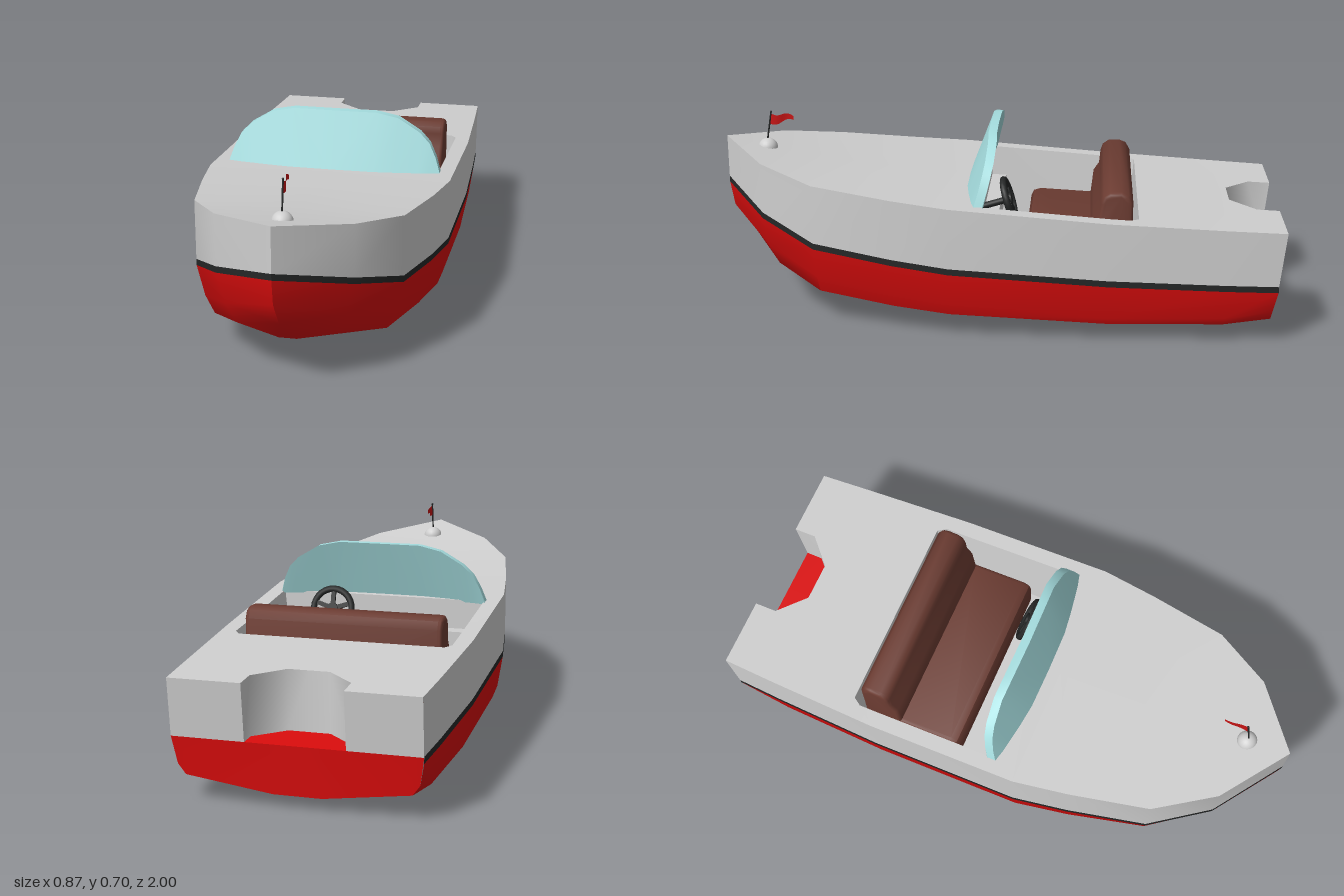
import * as THREE from 'three';
import { toCreasedNormals } from 'three/addons/utils/BufferGeometryUtils.js';

const material = (name, color) => new THREE.MeshStandardMaterial({ name, color });

// Grid surface over rows of [x, y, z] points on the +x half, mirrored to -x.
function skin(rows, crease = 0.7) {
  const pos = [];
  const tri = (...pts) => {
    for (const p of pts) pos.push(...p);
    for (const p of pts.reverse()) pos.push(-p[0], p[1], p[2]);
  };
  for (let i = 0; i < rows.length - 1; i++) {
    for (let j = 0; j < rows[i].length - 1; j++) {
      const a = rows[i][j], b = rows[i][j + 1], c = rows[i + 1][j], d = rows[i + 1][j + 1];
      tri(a, b, c);
      tri(b, d, c);
    }
  }
  const geo = new THREE.BufferGeometry();
  geo.setAttribute('position', new THREE.Float32BufferAttribute(pos, 3));
  return toCreasedNormals(geo, crease);
}

// Hull stations: z, half width, deck y, stripe y, stripe z, then shoulder, chine and keel points
const stations = [
  { z: 1, w: 0, deck: 0.605, stripe: 0.45, sz: 1, low: [[0, 0.34, 0.985], [0, 0.24, 0.91], [0, 0.24, 0.91]] },
  { z: 0.83, w: 0.225, deck: 0.565, stripe: 0.385, sz: 0.83, low: [[0.2, 0.255, 0.82], [0.17, 0.175, 0.79], [0.03, 0.14, 0.8]] },
  { z: 0.63, w: 0.35, deck: 0.527, stripe: 0.317, sz: 0.63, low: [[0.325, 0.185, 0.625], [0.295, 0.12, 0.62], [0.06, 0.07, 0.62]] },
  { z: 0.35, w: 0.405, deck: 0.497, stripe: 0.283, sz: 0.35, low: [[0.385, 0.15, 0.35], [0.36, 0.095, 0.35], [0.075, 0.046, 0.35]] },
  { z: 0.15, w: 0.435, deck: 0.48, stripe: 0.265, sz: 0.15, low: [[0.417, 0.13, 0.15], [0.4, 0.085, 0.15], [0.08, 0.028, 0.15]] },
  { z: -0.4, w: 0.436, deck: 0.44, stripe: 0.235, sz: -0.4, low: [[0.416, 0.09, -0.4], [0.405, 0.065, -0.4], [0.08, 0, -0.4]] },
  { z: -0.8, w: 0.42, deck: 0.419, stripe: 0.222, sz: -0.8, low: [[0.405, 0.095, -0.8], [0.39, 0.068, -0.8], [0.08, 0.012, -0.8]] },
  { z: -1, w: 0.41, deck: 0.41, stripe: 0.218, sz: -0.98, low: [[0.395, 0.12, -0.965], [0.37, 0.085, -0.962], [0.08, 0.045, -0.96]] },
];

// Interpolated station value at z
function at(z, key) {
  const i = Math.min(stations.findIndex((s) => s.z <= z + 1e-6) || 1, stations.length - 1);
  const a = stations[i - 1], b = stations[i];
  return THREE.MathUtils.mapLinear(z, a.z, b.z, a[key], b[key]);
}

export function createModel() {
  const white = material('light grey paint', 0xcfcfcf);
  const red = material('red paint', 0xdc0d0d);
  const black = material('black trim', 0x252727);
  const brown = material('brown upholstery', 0x6c3c32);
  const glass = material('pale blue windscreen', 0xa6dee0);
  glass.side = THREE.DoubleSide;
  const flagRed = material('flag red', 0xc81414);
  flagRed.side = THREE.DoubleSide;

  const boat = new THREE.Group();
  boat.name = 'motorboat';
  const add = (name, geo, mat, parent = boat) => {
    const mesh = new THREE.Mesh(geo, mat);
    mesh.name = name;
    parent.add(mesh);
    return mesh;
  };

  // Hull bands
  const band = 0.022;
  add('topsides', skin(stations.map((s) => [[s.w, s.deck, s.z], [s.w, s.stripe, s.sz]])), white);
  add('waterlineStripe', skin(stations.map((s) => [[s.w, s.stripe, s.sz], [s.w, s.stripe - band, s.sz]])), black);
  add('lowerHull', skin(stations.map((s) => [[s.w, s.stripe - band, s.sz], ...s.low, [0, s.low[2][1], s.low[2][2]]])), red);

  // Deck around the cockpit and the motor notch: z and inner half width
  const front = 0.05, back = -0.5;
  const deckPart = (list) => skin(list.map(([z, x]) => [[x, at(z, 'deck'), z], [at(z, 'w'), at(z, 'deck'), z]]));
  add('foredeck', deckPart([[1, 0], [0.83, 0], [0.63, 0], [0.35, 0], [0.15, 0], [front, 0]]), white);
  add('sideDecks', deckPart([[front, 0.38], [-0.4, 0.38], [-0.47, 0.38], [back, 0.36]]), white);
  add('aftDeck', deckPart([[back, 0], [-0.8, 0], [-0.83, 0], [-0.83, 0.07], [-0.92, 0.165], [-1, 0.165]]), white);

  // Transom and motor notch
  const sill = 0.215;
  add('upperTransom', skin([0.165, 0.41].map((x) => [[x, sill, -0.98], [x, 0.41, -1]])), white);
  add('lowerTransom', skin([
    [0, 0.045, -0.96], [0.08, 0.045, -0.96], [0.37, 0.085, -0.962], [0.395, 0.12, -0.965], [0.41, sill, -0.98],
  ].map((p) => [p, [p[0], sill, -0.98]])), red);
  const notch = [[0, -0.83], [0.07, -0.83], [0.165, -0.92], [0.165, -1]];
  add('notchWalls', skin(notch.map(([x, z]) => [[x, sill, Math.max(z, -0.98)], [x, at(z, 'deck'), z]]), 1), white);
  add('notchFloor', skin(notch.slice(1).map(([x, z]) => [[0, sill, Math.max(z, -0.98)], [x, sill, Math.max(z, -0.98)]])), red);

  // Cockpit well
  const floorY = 0.2;
  const well = [[0, front, 0, front], [0.38, front, 0.355, front], [0.38, -0.4, 0.355, -0.4],
    [0.38, -0.47, 0.355, -0.46], [0.36, back, 0.34, -0.48], [0, back, 0, -0.48]];
  add('cockpitWalls', skin(well.map(([x, z, bx, bz]) => [[bx, floorY, bz], [x, at(z, 'deck'), z]])), white);
  add('cockpitFloor', skin([front, -0.48].map((z) => [[0, floorY, z], [0.355, floorY, z]])), white);
  add('dashboardLedge', new THREE.BoxGeometry(0.71, 0.07, 0.06), white).position.set(0, 0.33, 0.025);

  // Bench seat: side profile in z and y, extruded across the boat
  const profile = new THREE.Shape([
    [-0.48, 0.2], [-0.48, 0.485], [-0.465, 0.512], [-0.44, 0.522], [-0.4, 0.52], [-0.378, 0.505], [-0.37, 0.48],
    [-0.365, 0.43], [-0.345, 0.4], [-0.335, 0.31], [-0.14, 0.32], [-0.115, 0.312], [-0.105, 0.29], [-0.105, 0.2],
  ].map((p) => new THREE.Vector2(...p)));
  const seat = new THREE.ExtrudeGeometry(profile, {
    depth: 0.66, bevelEnabled: true, bevelSize: 0.015, bevelThickness: 0.015, bevelOffset: -0.015, bevelSegments: 3,
  });
  seat.translate(0, 0, -0.33).rotateY(-Math.PI / 2);
  add('benchSeat', toCreasedNormals(seat, 0.8), brown);

  // Windscreen: x, top y and base z of each column
  const columns = [[0, 0.675, 0.11], [0.15, 0.675, 0.108], [0.23, 0.658, 0.098], [0.31, 0.61, 0.085],
    [0.345, 0.575, 0.079], [0.37, 0.525, 0.072], [0.387, 0.475, 0.068]];
  add('windscreen', skin(columns.map(([x, y, z]) => {
    const top = z - (y - 0.465) * 0.38;
    return [[x, 0.465, z - 0.035], [x, y, top - 0.03], [x, y, top], [x, 0.465, z]];
  }), 0.6), glass);

  // Steering wheel with five spokes
  const wheel = new THREE.Group();
  wheel.name = 'steeringWheel';
  wheel.position.set(0.165, 0.435, -0.045);
  wheel.rotation.x = 0.3;
  add('wheelRim', new THREE.TorusGeometry(0.072, 0.012, 8, 28), black, wheel);
  add('wheelHub', new THREE.CylinderGeometry(0.02, 0.02, 0.022, 16).rotateX(Math.PI / 2), black, wheel);
  add('steeringColumn', new THREE.CylinderGeometry(0.012, 0.012, 0.1, 12).rotateX(Math.PI / 2), black, wheel).position.z = 0.05;
  for (let i = 0; i < 5; i++) {
    const spoke = new THREE.BoxGeometry(0.016, 0.07, 0.01).translate(0, 0.035, 0).rotateZ((i * Math.PI * 2) / 5);
    add('wheelSpoke', spoke, black, wheel);
  }
  boat.add(wheel);

  // Bow pennant on a domed base
  const dome = new THREE.SphereGeometry(0.036, 20, 8, 0, Math.PI * 2, 0, Math.PI / 2);
  add('pennantBase', dome, white).position.set(0, 0.562, 0.85);
  const pole = new THREE.LineCurve3(new THREE.Vector3(0, 0.58, 0.853), new THREE.Vector3(0, 0.698, 0.833));
  add('pennantPole', new THREE.TubeGeometry(pole, 1, 0.003, 8), black);
  add('poleTip', new THREE.SphereGeometry(0.004, 8, 6), black).position.set(0, 0.697, 0.833);
  const pennant = new THREE.PlaneGeometry(1, 1, 8, 1);
  const p = pennant.attributes.position;
  for (let i = 0; i < p.count; i++) {
    const t = p.getX(i) + 0.5, v = p.getY(i);
    const wave = Math.sin(t * Math.PI * 2);
    p.setXYZ(i, 0.004 * wave, 0.672 + 0.003 * t - 0.006 * wave + v * 0.042 * (1 - 0.65 * t), 0.837 - 0.085 * t);
  }
  pennant.computeVertexNormals();
  add('pennant', pennant, flagRed);

  return boat;
}
